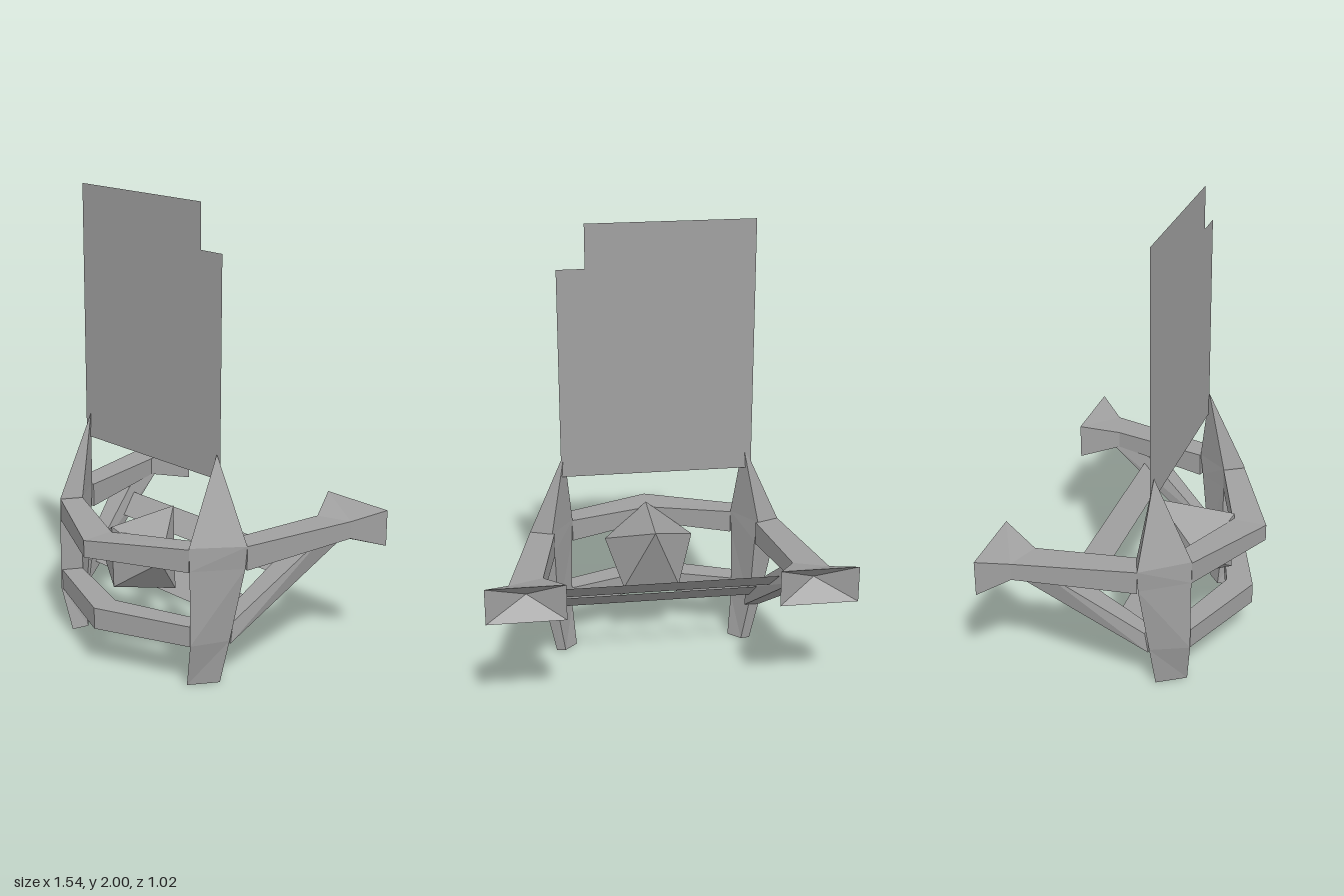
import * as THREE from 'three';

const grey = new THREE.MeshStandardMaterial({ color: 0xa0a0a0, flatShading: true, side: THREE.DoubleSide });
grey.name = 'plainGrey';

// Flat-faced mesh from triangles of Vector3; closed solids are turned outward
function solid(name, tris) {
  const volume = tris.reduce((s, [a, b, c]) => s + a.dot(b.clone().cross(c)), 0);
  const points = tris.flatMap(([a, b, c]) => (volume < 0 ? [a, c, b] : [a, b, c]));
  const geometry = new THREE.BufferGeometry().setFromPoints(points);
  geometry.computeVertexNormals();
  const mesh = new THREE.Mesh(geometry, grey);
  mesh.name = name;
  return mesh;
}

// Skin a row of equal cross-sections; each end closes to a middle point or a given apex
function loft(name, sections, side = 1, endApex = null) {
  const vec = ([x, y, z]) => new THREE.Vector3(x * side, y, z);
  const rings = sections.map((s) => s.map(vec));
  const n = rings[0].length;
  const middle = (r) => r.reduce((s, p) => s.add(p), new THREE.Vector3()).divideScalar(n);
  const first = rings[0], last = rings[rings.length - 1];
  const start = middle(first), end = endApex ? vec(endApex) : middle(last);
  const tris = [];
  for (let j = 0; j < n; j++) {
    const k = (j + 1) % n;
    for (let i = 0; i + 1 < rings.length; i++) {
      const a = rings[i], b = rings[i + 1];
      tris.push([a[j], a[k], b[k]], [a[j], b[k], b[j]]);
    }
    tris.push([start, first[k], first[j]], [end, last[j], last[k]]);
  }
  return solid(name, tris);
}

// Upright rectangle section between an outer and an inner plan point
const section = (xo, zo, xi, zi, low, high) =>
  [[xo, low, zo], [xo, high, zo], [xi, high, zi], [xi, low, zi]];

// Level section of a post: outer front, outer back, inner back, inner front
const level = (y, ...plan) => plan.map(([x, z]) => [x, y, z]);

export function createModel() {
  const group = new THREE.Group();

  // Bent bands across the front
  const band = (name, centre, sideX, sideZ, innerX, innerZ, low, high) => {
    const [zOut, zIn, cLow, cHigh] = centre;
    group.add(loft(name, [
      section(-sideX, sideZ, -innerX, innerZ, low, high),
      section(0, zOut, 0, zIn, cLow, cHigh),
      section(sideX, sideZ, innerX, innerZ, low, high),
    ]));
  };
  band('upperFrontBand', [0.51, 0.36, 0.53, 0.605], 0.41, 0.3, 0.36, 0.215, 0.525, 0.625);
  band('lowerFrontBand', [0.46, 0.34, 0.19, 0.285], 0.415, 0.295, 0.37, 0.215, 0.195, 0.285);

  for (const side of [1, -1]) {
    const label = side > 0 ? 'left' : 'right';
    // Post tapering to a foot below and a spike above
    group.add(loft(label + 'Post', [
      level(0, [0.375, 0.275], [0.45, 0.155], [0.41, 0.15], [0.355, 0.2]),
      level(0.2, [0.42, 0.3], [0.49, 0.14], [0.44, 0.125], [0.37, 0.215]),
      level(0.53, [0.415, 0.3], [0.545, 0.11], [0.45, 0.09], [0.365, 0.215]),
      level(0.63, [0.41, 0.3], [0.555, 0.11], [0.46, 0.075], [0.36, 0.215]),
    ], side, [0.395, 0.99, 0.13]));
    // Arm running back to a flared, hollow end
    group.add(loft(label + 'Arm', [
      section(0.555, 0.11, 0.45, 0.075, 0.525, 0.63),
      section(0.67, -0.4, 0.525, -0.35, 0.56, 0.637),
      section(0.77, -0.515, 0.44, -0.515, 0.525, 0.685),
    ], side, [0.6, 0.605, -0.42]));
    // Diagonal brace under the arm
    group.add(loft(label + 'Brace', [
      [[0.49, 0.185, 0.135], [0.49, 0.28, 0.12], [0.42, 0.28, 0.12], [0.42, 0.185, 0.135]],
      [[0.64, 0.56, -0.38], [0.64, 0.61, -0.28], [0.53, 0.61, -0.28], [0.53, 0.56, -0.38]],
    ], side));
  }

  // Tilted flat slats between the braces
  for (const [name, y, z] of [['lowerSlat', 0.305, 0.043], ['upperSlat', 0.465, -0.172]]) {
    const slat = new THREE.Mesh(new THREE.PlaneGeometry(1, 0.122), grey);
    slat.name = name;
    slat.position.set(0, y, z);
    slat.rotation.x = -0.8;
    group.add(slat);
  }

  // Five-sided gem pointing down at the front, long point at the back
  const rim = [[0.01, 0.63, 0.365], [-0.19, 0.5, 0.27], [-0.11, 0.32, 0.12], [0.14, 0.32, 0.12], [0.21, 0.5, 0.27]]
    .map((p) => new THREE.Vector3(...p));
  const front = new THREE.Vector3(0.01, 0.355, 0.357), back = new THREE.Vector3(0.01, 0.635, 0.01);
  group.add(solid('gem', rim.flatMap((p, i) => {
    const q = rim[(i + 1) % rim.length];
    return [[front, p, q], [back, q, p]];
  })));

  // Upright flat panel with a notched corner
  const outline = [[-0.43, 0.88], [0.41, 0.88], [0.41, 1.81], [0.29, 1.81], [0.29, 2], [-0.43, 2]];
  const panel = new THREE.Mesh(
    new THREE.ShapeGeometry(new THREE.Shape(outline.map((p) => new THREE.Vector2(...p)))), grey);
  panel.name = 'backPanel';
  panel.position.z = 0.125;
  group.add(panel);

  return group;
}
